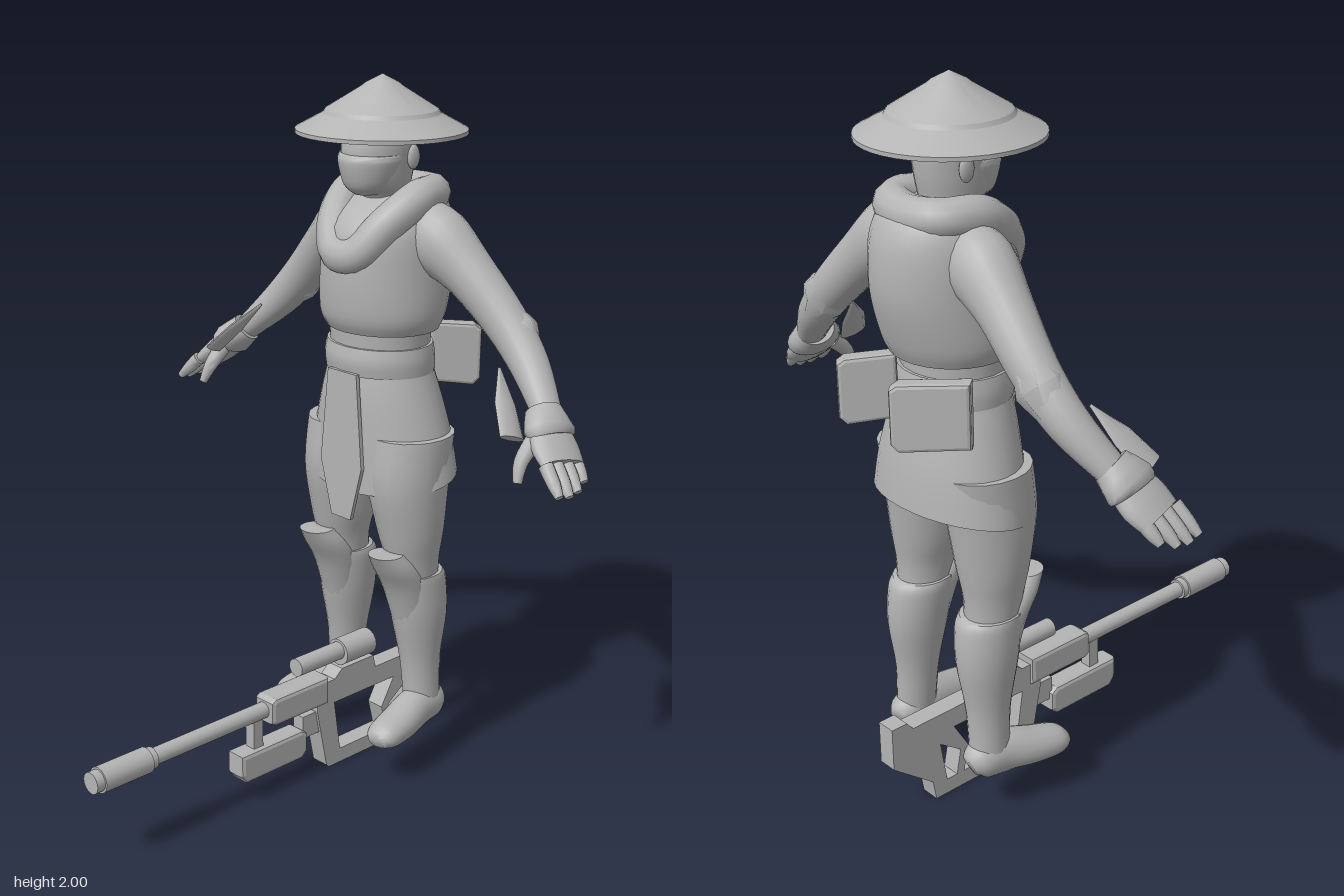
import * as THREE from 'three';
import { toCreasedNormals } from 'three/addons/utils/BufferGeometryUtils.js';

const grey = new THREE.MeshStandardMaterial({ color: 0xb4b4b4 });
grey.name = 'plainGrey';

function add(parent, name, geometry, x = 0, y = 0, z = 0) {
  const mesh = new THREE.Mesh(geometry, grey);
  mesh.name = name;
  mesh.position.set(x, y, z);
  parent.add(mesh);
  return mesh;
}

// Smooth capped loft through elliptical sections [x, y, z, ru, rv, slope].
// flat keeps the rings level (slope tilts them along x); floor clamps the underside.
function loft(sections, { flat = false, seg = 20, sub = 4, floor = -1 } = {}) {
  const n = (sections.length - 1) * sub;
  const cr = (a, b, c, d, t) => 0.5 * (2 * b + (c - a) * t + (2 * a - 5 * b + 4 * c - d) * t * t + (3 * b - a - 3 * c + d) * t ** 3);
  const at = (k) => sections[Math.max(0, Math.min(sections.length - 1, k))];
  const rows = [];
  for (let i = 0; i <= n; i++) {
    const k = Math.min(Math.floor(i / sub), sections.length - 2), t = i / sub - k;
    rows.push([0, 1, 2, 3, 4, 5].map((c) => cr(at(k - 1)[c] ?? 0, at(k)[c] ?? 0, at(k + 1)[c] ?? 0, at(k + 2)[c] ?? 0, t)));
  }
  const pos = [], index = [];
  const centre = (r) => new THREE.Vector3(r[0], r[1], r[2]);
  rows.forEach((r, i) => {
    let t = centre(rows[Math.min(i + 1, n)]).sub(centre(rows[Math.max(i - 1, 0)])).normalize();
    if (flat) t = new THREE.Vector3(0, Math.sign(rows[n][1] - rows[0][1]), 0);
    const u = Math.abs(t.x) > 0.8 ? new THREE.Vector3(0, 1, 0) : new THREE.Vector3(1, 0, 0);
    u.addScaledVector(t, -u.dot(t)).normalize();
    const v = t.clone().cross(u);
    for (let j = 0; j < seg; j++) {
      const a = (j / seg) * Math.PI * 2;
      const p = centre(r).addScaledVector(u, Math.cos(a) * r[3]).addScaledVector(v, Math.sin(a) * r[4]);
      p.y += r[5] * Math.cos(a) * r[3];
      pos.push(p.x, Math.max(p.y, floor), p.z);
    }
  });
  for (let i = 0; i < n; i++) for (let j = 0; j < seg; j++) {
    const a = i * seg + j, b = i * seg + (j + 1) % seg;
    index.push(a, b, b + seg, a, b + seg, a + seg);
  }
  // End caps
  const c0 = pos.length / 3, c1 = c0 + 1;
  pos.push(...rows[0].slice(0, 3), ...rows[n].slice(0, 3));
  for (let j = 0; j < seg; j++) {
    const k = (j + 1) % seg;
    index.push(c0, k, j, c1, n * seg + j, n * seg + k);
  }
  const g = new THREE.BufferGeometry();
  g.setAttribute('position', new THREE.Float32BufferAttribute(pos, 3));
  g.setIndex(index);
  return toCreasedNormals(g, 0.9);
}

// Outline in x, y extruded along z, centred on z = 0
function plate(points, depth, holes = [], bevel = 0) {
  const toV = (list) => list.map((p) => new THREE.Vector2(...p));
  const shape = new THREE.Shape(toV(points));
  holes.forEach((h) => shape.holes.push(new THREE.Path(toV(h))));
  const g = new THREE.ExtrudeGeometry(shape, { depth: depth - 2 * bevel, bevelEnabled: bevel > 0, bevelSize: bevel, bevelOffset: -bevel, bevelThickness: bevel, bevelSegments: 2 });
  return g.translate(0, 0, -depth / 2 + bevel);
}

function tubeX(r, x0, x1, seg = 16) {
  return new THREE.CylinderGeometry(r, r, x1 - x0, seg).rotateZ(Math.PI / 2).translate((x0 + x1) / 2, 0, 0);
}

function buildHead(g) {
  add(g, 'head', loft([[0.4, 1.58, 0, 0.07, 0.07], [0.4, 1.67, 0, 0.065, 0.062], [0.375, 1.71, 0, 0.095, 0.08],
    [0.37, 1.77, 0, 0.11, 0.09], [0.375, 1.85, 0, 0.105, 0.092], [0.38, 1.92, 0, 0.06, 0.05]], { flat: true }));
  add(g, 'faceMask', loft([[0.335, 1.685, 0, 0.045, 0.035], [0.34, 1.71, 0, 0.075, 0.07], [0.345, 1.775, 0, 0.095, 0.093],
    [0.35, 1.795, 0, 0.09, 0.092]], { flat: true }));
  for (const s of [1, -1]) {
    add(g, 'ear', new THREE.SphereGeometry(0.028, 12, 8).scale(0.8, 1.2, 0.4), 0.41, 1.785, s * 0.092);
  }
  // Wide conical hat with a hollow underside
  const profile = [[0, 1.955], [0.15, 1.885], [0.215, 1.848], [0.235, 1.845], [0.235, 1.856], [0.16, 1.897],
    [0.153, 1.908], [0.056, 1.968], [0.045, 1.977], [0, 2]].map((p) => new THREE.Vector2(...p));
  add(g, 'strawHat', toCreasedNormals(new THREE.LatheGeometry(profile, 40), 0.25), 0.38, 0, 0);
}

function buildTorso(g) {
  add(g, 'vest', loft([[0.4, 1.31, 0, 0.15, 0.165], [0.4, 1.36, 0, 0.172, 0.182], [0.412, 1.48, 0, 0.19, 0.18],
    [0.42, 1.6, 0, 0.178, 0.172], [0.45, 1.67, 0, 0.12, 0.14], [0.46, 1.7, 0, 0.07, 0.09]], { flat: true, seg: 28 }));
  const collar = new THREE.CatmullRomCurve3([[0.515, 1.675, 0], [0.49, 1.68, 0.09], [0.4, 1.675, 0.12], [0.31, 1.615, 0.095],
    [0.255, 1.53, 0.035], [0.255, 1.53, -0.035], [0.31, 1.615, -0.095], [0.4, 1.675, -0.12], [0.49, 1.68, -0.09]]
    .map((p) => new THREE.Vector3(...p)), true);
  add(g, 'collar', new THREE.TubeGeometry(collar, 56, 0.052, 12, true));
  add(g, 'waist', loft([[0.395, 1.15, 0, 0.135, 0.16], [0.39, 1.24, 0, 0.13, 0.15], [0.39, 1.34, 0, 0.135, 0.155]], { flat: true }));
  add(g, 'belt', loft([[0.393, 1.19, 0, 0.142, 0.163], [0.39, 1.23, 0, 0.145, 0.164], [0.39, 1.27, 0, 0.138, 0.158]], { flat: true, seg: 28 }));
  add(g, 'skirt', loft([[0.393, 1.21, 0, 0.132, 0.155, 0], [0.4, 1.12, 0, 0.15, 0.185, 0.02], [0.408, 1, 0, 0.162, 0.22, 0.12],
    [0.413, 0.885, 0, 0.168, 0.243, 0.2]], { flat: true, seg: 32 }));
  add(g, 'frontFlap', plate([[-0.055, 1.2], [0.055, 1.2], [0.08, 0.93], [0.04, 0.77], [-0.035, 0.77], [-0.08, 0.93]], 0.012)
    .rotateY(-Math.PI / 2), 0.247, 0, 0);
  // Pouches hung at an angle behind the belt: [x, z, length, turn]
  for (const [x, z, len, turn] of [[0.575, -0.135, 0.2, -0.85], [0.58, 0.11, 0.15, -0.65]]) {
    const w = len / 2;
    const pouch = add(g, 'beltPouch', plate([[-w, 1.135], [w - 0.02, 1.12], [w, 1.14], [w, 1.285], [w - 0.02, 1.3], [-w, 1.31]], 0.05, [], 0.01), x, 0, z);
    pouch.rotation.y = turn;
  }
}

function buildArm(g, s) {
  add(g, 'arm', loft([[0.43, 1.6, 0.1, 0.07, 0.08], [0.435, 1.565, 0.17, 0.085, 0.095], [0.45, 1.49, 0.27, 0.07, 0.072],
    [0.465, 1.38, 0.385, 0.06, 0.062], [0.455, 1.28, 0.485, 0.054, 0.053], [0.41, 1.175, 0.59, 0.042, 0.036]]
    .map((r) => [r[0], r[1], r[2] * s, r[3], r[4]])));
  add(g, 'forearmGuard', loft([[0.475, 1.42, 0.36, 0.04, 0.03], [0.475, 1.35, 0.415, 0.06, 0.07], [0.46, 1.27, 0.485, 0.045, 0.03]]
    .map((r) => [r[0], r[1], r[2] * s, r[3], r[4]]), { seg: 8, sub: 1 }));
  add(g, 'gloveCuff', loft([[0.405, 1.185, 0.578, 0.052, 0.045], [0.385, 1.145, 0.618, 0.078, 0.05], [0.38, 1.13, 0.63, 0.07, 0.04]]
    .map((r) => [r[0], r[1], r[2] * s, r[3], r[4]]), { sub: 2 }));
  add(g, 'palm', loft([[0.39, 1.155, 0.605, 0.06, 0.036], [0.37, 1.11, 0.65, 0.076, 0.036], [0.355, 1.075, 0.69, 0.07, 0.028]]
    .map((r) => [r[0], r[1], r[2] * s, r[3], r[4]])));
  for (let i = 0; i < 4; i++) {
    const x = 0.298 + i * 0.037, reach = [0.92, 1, 0.95, 0.75][i];
    add(g, 'finger', loft([[x, 1.085, 0.68, 0.019, 0.021], [x - 0.012 * reach, 1.085 - 0.04 * reach, 0.68 + 0.04 * reach, 0.018, 0.018],
      [x - 0.022 * reach, 1.085 - 0.07 * reach, 0.68 + 0.07 * reach, 0.011, 0.011]]
      .map((r) => [r[0], r[1], r[2] * s, r[3], r[4]]), { seg: 10, sub: 3 }));
  }
  add(g, 'thumb', loft([[0.33, 1.125, 0.61, 0.025, 0.025], [0.285, 1.08, 0.61, 0.02, 0.02], [0.262, 1.03, 0.62, 0.012, 0.012]]
    .map((r) => [r[0], r[1], r[2] * s, r[3], r[4]]), { seg: 10 }));
  // Pointed wrist flap
  add(g, 'wristFlap', loft([[0.36, 1.285, 0.462, 0.004, 0.004], [0.315, 1.21, 0.525, 0.035, 0.012], [0.275, 1.14, 0.585, 0.04, 0.012]]
    .map((r) => [r[0], r[1], r[2] * s, r[3], r[4]]), { seg: 8, sub: 1 }));
}

function buildLeg(g, s) {
  const z = 0.14 * s, flat = true;
  add(g, 'thigh', loft([[0.4, 1.02, 0.12 * s, 0.13, 0.115], [0.385, 0.88, 0.127 * s, 0.125, 0.108], [0.39, 0.74, 0.135 * s, 0.102, 0.092],
    [0.395, 0.65, z, 0.085, 0.073], [0.405, 0.55, z, 0.075, 0.066]], { flat }));
  add(g, 'boot', loft([[0.405, 0.605, z, 0.088, 0.077], [0.415, 0.575, z, 0.094, 0.08], [0.425, 0.47, 0.145 * s, 0.09, 0.075],
    [0.43, 0.32, 0.15 * s, 0.064, 0.055], [0.435, 0.17, 0.158 * s, 0.058, 0.05]], { flat }));
  add(g, 'kneeGuard', loft([[0.4, 0.42, 0.145 * s, 0.05, 0.05], [0.37, 0.56, z, 0.065, 0.066], [0.325, 0.635, z, 0.062, 0.066],
    [0.285, 0.685, z, 0.05, 0.05]], { flat }));
  add(g, 'foot', loft([[0.5, 0.165, 0.152 * s, 0.03, 0.03], [0.47, 0.175, 0.157 * s, 0.055, 0.05], [0.4, 0.175, 0.165 * s, 0.062, 0.053],
    [0.31, 0.16, 0.183 * s, 0.052, 0.057], [0.23, 0.15, 0.196 * s, 0.04, 0.05], [0.2, 0.147, 0.2 * s, 0.02, 0.03]], { floor: 0.125 }));
}

function buildRifle(g) {
  const y = 0.26;
  add(g, 'muzzle', tubeX(0.037, -0.64, -0.48), 0, y, 0);
  add(g, 'muzzleTip', tubeX(0.031, -0.665, -0.46), 0, y, 0);
  add(g, 'barrel', tubeX(0.024, -0.47, 0), 0, y, 0);
  add(g, 'receiver', plate([[-0.055, 0.225], [-0.04, 0.215], [0.17, 0.215], [0.17, 0.3], [-0.04, 0.3], [-0.055, 0.29]], 0.076, [], 0.012));
  add(g, 'stockFrame', plate([[0.13, 0.2], [0.17, 0.01], [0.18, 0], [0.52, 0], [0.53, 0.06], [0.66, 0.165], [0.66, 0.29], [0.61, 0.29],
    [0.59, 0.265], [0.37, 0.265], [0.36, 0.305], [0.23, 0.305], [0.2, 0.28], [0.14, 0.28]], 0.056, [
    [[0.2, 0.205], [0.225, 0.045], [0.42, 0.045], [0.4, 0.12], [0.45, 0.205]],
    [[0.445, 0.045], [0.48, 0.045], [0.5, 0.17], [0.43, 0.12]]]));
  add(g, 'scopeTube', tubeX(0.027, 0.07, 0.25), 0, 0.35, 0);
  add(g, 'scopeBody', tubeX(0.04, 0.24, 0.36), 0, 0.345, 0);
  add(g, 'foregrip', plate([[-0.165, 0.095], [-0.145, 0.07], [0.07, 0.07], [0.09, 0.09], [0.09, 0.145], [0.07, 0.16], [-0.165, 0.16]], 0.066, [], 0.012));
  add(g, 'foregripPost', new THREE.BoxGeometry(0.035, 0.1, 0.035), -0.09, 0.2, 0);
  add(g, 'foregripLink', new THREE.BoxGeometry(0.08, 0.07, 0.04), 0.12, 0.16, 0);
}

export function createModel() {
  const model = new THREE.Group();
  model.name = 'hattedMarksman';
  const part = (name, build, ...args) => {
    const g = new THREE.Group();
    g.name = name;
    build(g, ...args);
    model.add(g);
  };
  part('headAndHat', buildHead);
  part('torso', buildTorso);
  for (const s of [1, -1]) {
    part(s > 0 ? 'nearArm' : 'farArm', buildArm, s);
    part(s > 0 ? 'nearLeg' : 'farLeg', buildLeg, s);
  }
  part('rifle', buildRifle);
  return model;
}
